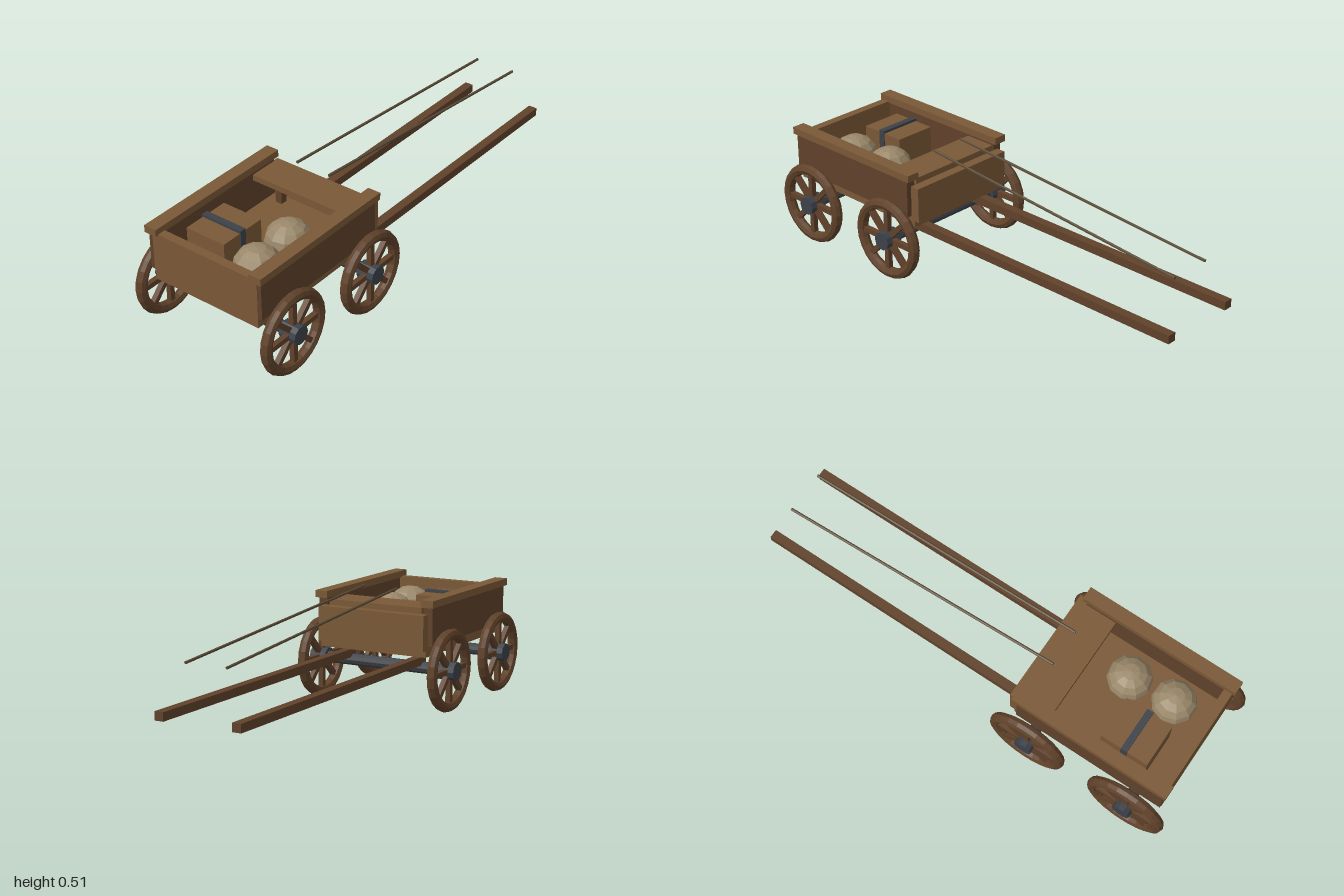
import * as THREE from 'three';

const mat = (color) => new THREE.MeshStandardMaterial({ color, flatShading: true });
const wood = mat(0x7a5836), darkWood = mat(0x60422a), iron = mat(0x3d4249);
const cloth = mat(0x998769), leather = mat(0x5a4a36);

function add(parent, name, geometry, material, x = 0, y = 0, z = 0) {
  const mesh = new THREE.Mesh(geometry, material);
  mesh.name = name;
  mesh.position.set(x, y, z);
  parent.add(mesh);
  return mesh;
}

// Box given by its lower and upper bounds on each axis
function box(parent, name, material, [x0, x1], [y0, y1], [z0, z1]) {
  return add(parent, name, new THREE.BoxGeometry(x1 - x0, y1 - y0, z1 - z0), material,
    (x0 + x1) / 2, (y0 + y1) / 2, (z0 + z1) / 2);
}

// Box mirrored to both sides of the cart
function boxPair(parent, name, material, [x0, x1], ys, zs) {
  box(parent, name + 'Left', material, [x0, x1], ys, zs);
  box(parent, name + 'Right', material, [-x1, -x0], ys, zs);
}

// Wheel built around the x axis: rim, hub and eight spokes
function makeWheel() {
  const wheel = new THREE.Group();
  wheel.name = 'wheel';
  const rim = new THREE.TorusGeometry(0.1525, 0.0228, 8, 24).rotateY(Math.PI / 2);
  add(wheel, 'rim', rim, darkWood);
  const hub = new THREE.CylinderGeometry(0.039, 0.039, 0.076, 10).rotateZ(Math.PI / 2);
  add(wheel, 'hub', hub, iron);
  for (let i = 0; i < 8; i++) {
    const spoke = new THREE.BoxGeometry(0.022, 0.13, 0.022);
    spoke.translate(0, 0.085, 0).rotateX((i * Math.PI) / 4);
    add(wheel, 'spoke', spoke, darkWood);
  }
  return wheel;
}

export function createModel() {
  const cart = new THREE.Group();
  cart.name = 'cart';

  // Cart bed
  const bed = new THREE.Group();
  bed.name = 'bed';
  cart.add(bed);
  box(bed, 'floor', wood, [-0.25, 0.25], [0.243, 0.287], [0.26, 0.95]);
  box(bed, 'tailgate', wood, [-0.252, 0.252], [0.287, 0.455], [0.915, 0.952]);
  box(bed, 'driverBoard', wood, [-0.25, 0.25], [0.27, 0.42], [0.237, 0.278]);
  boxPair(bed, 'sideBoard', darkWood, [0.23, 0.27], [0.287, 0.455], [0.28, 0.95]);
  boxPair(bed, 'topRail', wood, [0.223, 0.28], [0.45, 0.48], [0.262, 0.963]);

  // Bench on two legs
  box(bed, 'bench', wood, [-0.22, 0.22], [0.42, 0.445], [0.278, 0.42]);
  boxPair(bed, 'benchLeg', darkWood, [0.155, 0.185], [0.287, 0.42], [0.3, 0.33]);

  // Axles and wheels
  for (const z of [0.36, 0.825]) {
    const axle = new THREE.CylinderGeometry(0.025, 0.025, 0.6, 10).rotateZ(Math.PI / 2);
    add(cart, 'axle', axle, iron, 0, 0.178, z);
    for (const side of [-1, 1]) {
      const wheel = makeWheel();
      wheel.position.set(side * 0.308, 0.178, z);
      cart.add(wheel);
    }
  }

  // Draught shafts
  boxPair(cart, 'shaft', darkWood, [0.15, 0.188], [0.19, 0.225], [-1, 0.38]);

  // Reins
  for (const side of [-1, 1]) {
    const path = new THREE.LineCurve3(
      new THREE.Vector3(side * 0.078, 0.508, 0.32),
      new THREE.Vector3(side * 0.09, 0.403, -0.94));
    const rein = add(cart, 'rein', new THREE.CylinderGeometry(0.006, 0.006, path.getLength(), 6), leather);
    rein.position.copy(path.getPoint(0.5));
    rein.quaternion.setFromUnitVectors(new THREE.Vector3(0, 1, 0), path.getTangent(0));
  }

  // Cargo: strapped crate and two sacks
  const cargo = new THREE.Group();
  cargo.name = 'cargo';
  cart.add(cargo);
  box(cargo, 'crate', wood, [-0.194, -0.01], [0.287, 0.432], [0.62, 0.83]);
  box(cargo, 'crateStrap', iron, [-0.198, -0.006], [0.287, 0.443], [0.712, 0.74]);
  for (const [x, z, turn] of [[0.087, 0.578, 0.2], [0.102, 0.775, 0.6]]) {
    const sack = add(cargo, 'sack', new THREE.SphereGeometry(0.093, 10, 8), cloth, x, 0.363, z);
    sack.scale.y = 0.85;
    sack.rotation.y = turn;
  }
  return cart;
}
